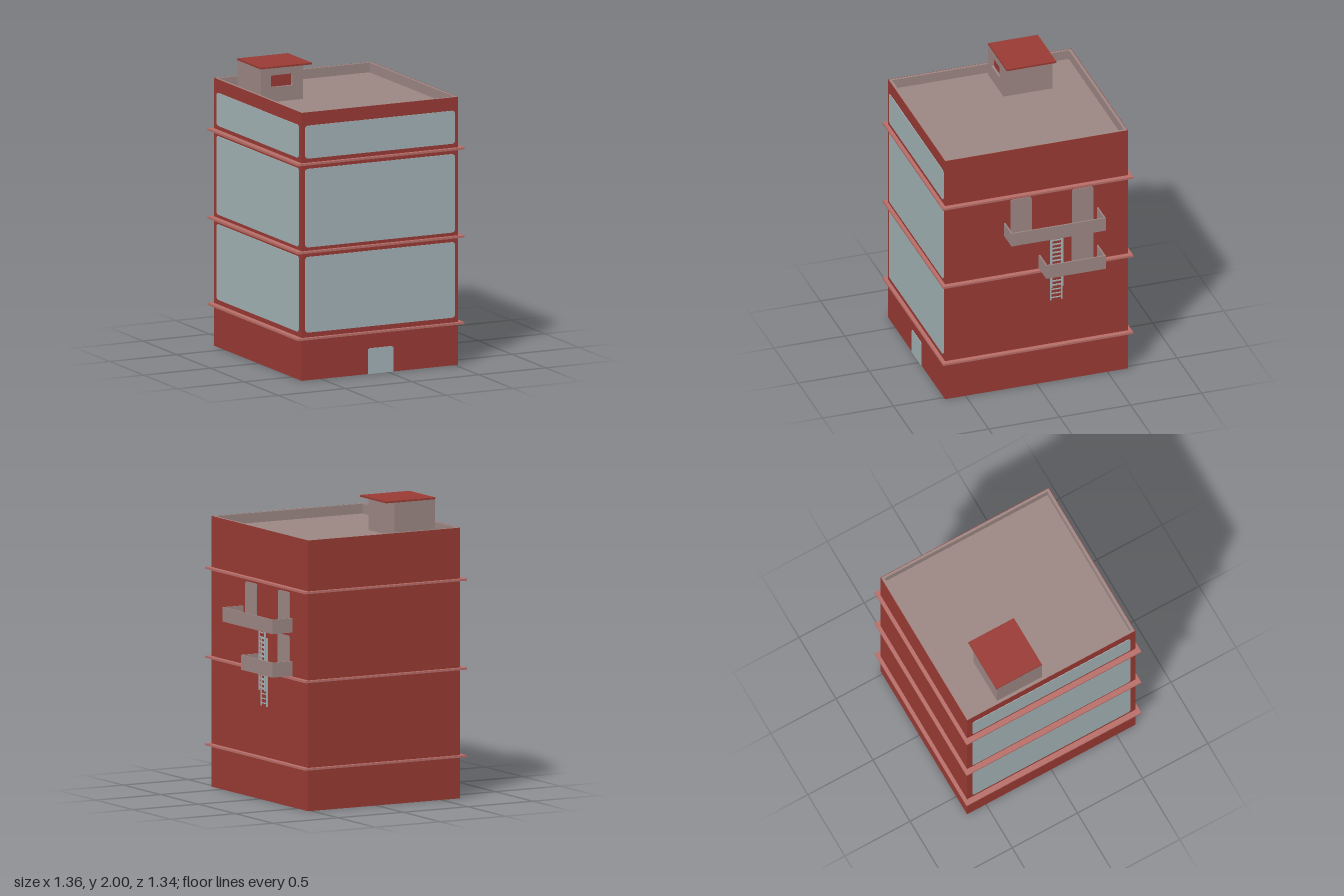
import * as THREE from 'three';

const mat = (name, color) => {
  const m = new THREE.MeshStandardMaterial({ color });
  m.name = name;
  return m;
};

export function createModel() {
  const brick = mat('brick red', 0x9a3a34);
  const trim = mat('pale red trim', 0xb86e68);
  const stone = mat('warm grey', 0x9c8784);
  const glass = mat('pale blue grey', 0xa3b3b6);
  const model = new THREE.Group();
  model.name = 'building';

  const add = (parent, name, geo, material) => {
    const mesh = new THREE.Mesh(geo, material);
    mesh.name = name;
    parent.add(mesh);
    return mesh;
  };
  // box given by its limits on each axis
  const box = (parent, name, material, x0, x1, y0, y1, z0, z1) => {
    const mesh = add(parent, name, new THREE.BoxGeometry(x1 - x0, y1 - y0, z1 - z0), material);
    mesh.position.set((x0 + x1) / 2, (y0 + y1) / 2, (z0 + z1) / 2);
    return mesh;
  };
  const group = (name) => {
    const g = new THREE.Group();
    g.name = name;
    model.add(g);
    return g;
  };
  // rectangle with separate bottom and top corner radii
  const rect = (C, x0, x1, y0, y1, rb = 0, rt = rb) => {
    const s = new C();
    s.moveTo(x0 + rb, y0);
    s.lineTo(x1 - rb, y0);
    if (rb) s.quadraticCurveTo(x1, y0, x1, y0 + rb);
    s.lineTo(x1, y1 - rt);
    if (rt) s.quadraticCurveTo(x1, y1, x1 - rt, y1);
    s.lineTo(x0 + rt, y1);
    if (rt) s.quadraticCurveTo(x0, y1, x0, y1 - rt);
    s.lineTo(x0, y0 + rb);
    if (rb) s.quadraticCurveTo(x0, y0, x0 + rb, y0);
    return s;
  };
  const extrude = (shape, depth) =>
    new THREE.ExtrudeGeometry(shape, { depth, bevelEnabled: false, curveSegments: 5 });
  // horizontal slab with a rectangular opening; limits are [x0, x1, z0, z1]
  const slab = (parent, name, material, o, h, y0, y1) => {
    const s = rect(THREE.Shape, o[0], o[1], -o[3], -o[2]);
    s.holes.push(rect(THREE.Path, h[0], h[1], -h[3], -h[2]));
    const mesh = add(parent, name, extrude(s, y1 - y0).rotateX(-Math.PI / 2), material);
    mesh.position.y = y0;
    return mesh;
  };

  // main block, parapet and roof
  const X0 = -0.645, X1 = 0.525, Z = 0.645, TOP = 1.825, ROOF = 1.755, t = 0.003;
  box(model, 'walls', brick, X0, X1, 0, ROOF, -Z, Z);
  slab(model, 'parapetOutside', brick, [X0, X1, -Z, Z], [X0 + t, X1 - t, -Z + t, Z - t], ROOF, TOP);
  slab(model, 'parapetInside', stone, [X0 + t, X1 - t, -Z + t, Z - t],
    [X0 + 0.02, X1 - 0.02, -Z + 0.022, Z - 0.022], ROOF, TOP);
  box(model, 'roofFloor', stone, X0 + 0.015, X1 - 0.015, ROOF, ROOF + 0.004, -Z + 0.015, Z - 0.015);

  // ledges between the storeys
  for (const y of [0.285, 0.875, 1.475])
    slab(model, 'ledge', trim, [-0.683, 0.56, -0.67, 0.67], [X0, X1, -Z, Z], y - 0.007, y + 0.007);

  // wide windows on the front and on the -x side
  for (const [y0, y1] of [[0.325, 0.84], [0.905, 1.44], [1.51, 1.735]]) {
    add(model, 'frontWindow', extrude(rect(THREE.Shape, -0.62, 0.5, y0, y1, 0.025), 0.004), glass)
      .position.z = Z;
    const side = add(model, 'sideWindow', extrude(rect(THREE.Shape, -0.605, 0.605, y0, y1, 0.025), 0.004), glass);
    side.rotation.y = -Math.PI / 2;
    side.position.x = X0;
  }
  add(model, 'frontDoor', extrude(rect(THREE.Shape, -0.15, 0.04, 0, 0.175, 0, 0.02), 0.004), glass)
    .position.z = Z;

  // roof hut with a recessed window and an overhanging cover
  const hut = group('roofHut');
  box(hut, 'hutBody', stone, -0.6, -0.285, ROOF, 1.99, -0.39, -0.065);
  const face = rect(THREE.Shape, -0.6, -0.285, ROOF, 1.99);
  face.holes.push(rect(THREE.Path, -0.525, -0.365, 1.86, 1.94, 0.01));
  add(hut, 'hutFront', extrude(face, 0.02), stone).position.z = -0.065;
  box(hut, 'hutWindow', brick, -0.53, -0.36, 1.855, 1.945, -0.066, -0.062);
  box(hut, 'hutCover', brick, -0.6, -0.22, 1.988, 2, -0.395, -0.045);

  // balcony doors and a small shutter on the +x wall
  const wallPlate = (name, material, z0, z1, y0, y1, rb, rt) => {
    const m = add(model, name, extrude(rect(THREE.Shape, -z1, -z0, y0, y1, rb, rt), 0.006), material);
    m.rotation.y = Math.PI / 2;
    m.position.x = X1;
  };
  wallPlate('balconyDoor', stone, 0.035, 0.185, 1.19, 1.445, 0, 0.02);
  wallPlate('balconyDoor', stone, -0.4, -0.25, 1.19, 1.445, 0, 0.02);
  wallPlate('balconyDoor', stone, -0.4, -0.245, 0.895, 1.15, 0, 0.02);
  wallPlate('shutter', brick, -0.185, -0.035, 1.02, 1.125, 0.01, 0.01);

  // balconies with a ladder hatch in the floor
  const balcony = (name, z0, z1, y0, y1) => {
    const g = group(name), w = 0.01, X2 = 0.68;
    slab(g, 'balconyFloor', stone, [X1, X2, z0, z1], [0.555, 0.645, -0.175, -0.08], y0, y0 + w);
    box(g, 'balconyFrontWall', stone, X2 - w, X2, y0 + w, y1, z0, z1);
    for (const z of [z0, z1 - w])
      box(g, 'balconyEndWall', stone, X1, X2 - w, y0 + w, y1, z, z + w);
  };
  balcony('upperBalcony', -0.435, 0.23, 1.178, 1.275);
  balcony('lowerBalcony', -0.435, -0.015, 0.885, 0.985);

  // ladders
  const ladder = (name, x, y0, y1) => {
    const g = group(name), r = 0.004;
    for (const z of [-0.165, -0.087])
      box(g, 'ladderRail', glass, x - r, x + r, y0, y1, z - r, z + r);
    for (let y = y0 + 0.02; y < y1; y += 0.031)
      box(g, 'ladderRung', glass, x - 0.003, x + 0.003, y - 0.003, y + 0.003, -0.165, -0.087);
  };
  ladder('lowerLadder', 0.565, 0.645, 1.11);
  ladder('upperLadder', 0.58, 0.75, 1.178);

  return model;
}
